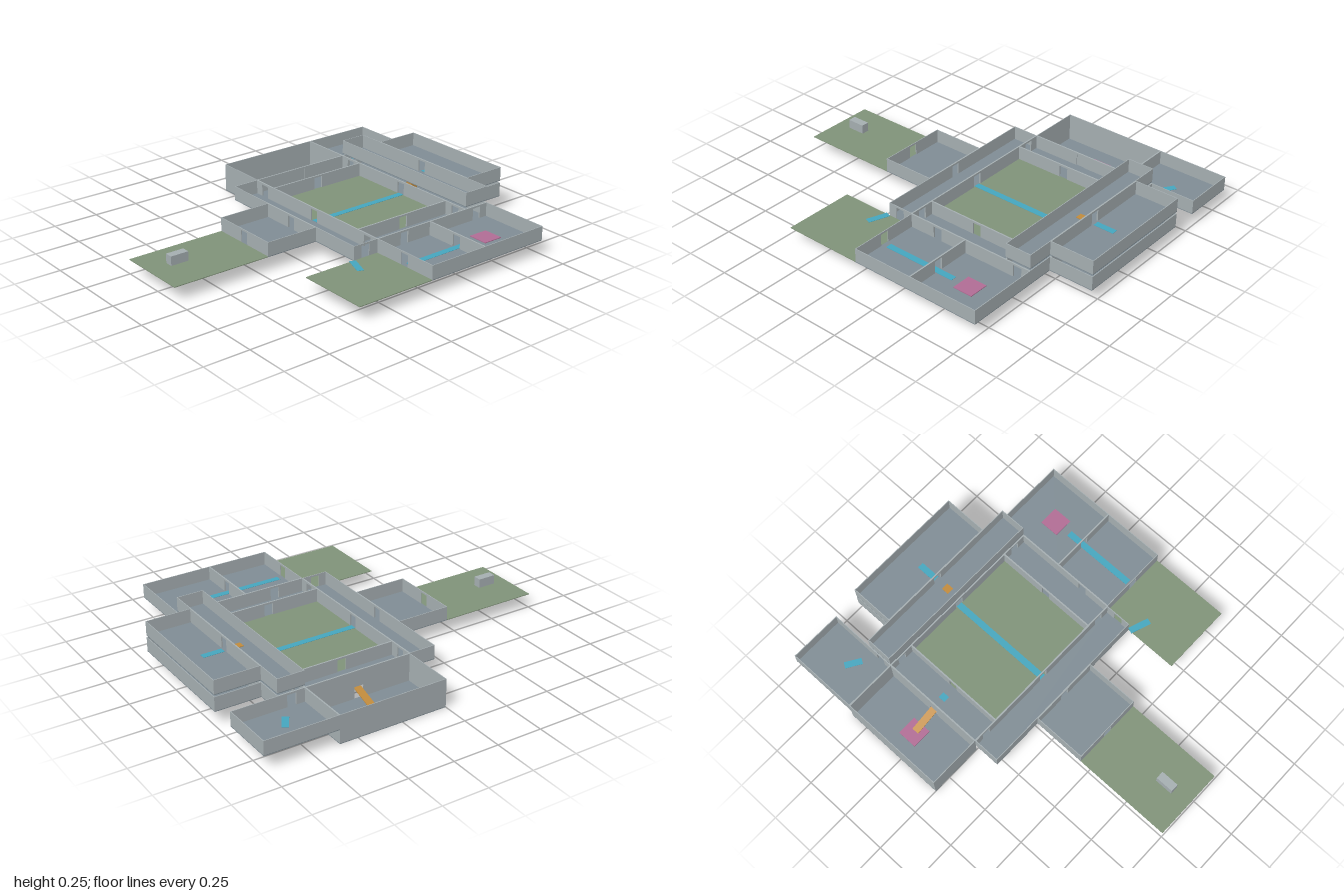
import * as THREE from 'three';

const T = 0.004;            // wall and floor thickness
const DOOR_W = 0.05, DOOR_H = 0.065;
const LOW = 0.004, MID = 0.08, HIGH = 0.17;

const mat = (color) => new THREE.MeshStandardMaterial({ color });
const wallMat = mat(0xa4adb0), stoneMat = mat(0x7f8c94), grassMat = mat(0x7f9278);
const linkMat = mat(0x45a5bd), riseMat = mat(0xc08a3c), padMat = mat(0xb06c94);

// Box given by its limits on each axis
function block(name, x0, x1, y0, y1, z0, z1, material) {
  const m = new THREE.Mesh(new THREE.BoxGeometry(x1 - x0, y1 - y0, z1 - z0), material);
  m.position.set((x0 + x1) / 2, (y0 + y1) / 2, (z0 + z1) / 2);
  m.name = name;
  return m;
}

// Doorways: [axis the wall runs along, wall coordinate, door centre]
const doors = [
  ['x', 0.45, -0.05], ['x', 0.15, -0.05], ['x', 0, -0.05], ['x', -0.6, -0.05], ['x', -0.75, -0.05],
  ['x', 0, -0.475], ['x', 0, 0.375], ['x', -0.6, -0.475], ['x', -0.6, 0.375],
  ['x', -0.35, 0.65], ['x', 0, 0.65],
  ['z', 0.45, 0.078], ['z', 0.45, -0.175], ['z', 0.45, -0.675],
  ['z', -0.55, -0.3], ['z', -0.55, -0.675],
  ['z', -0.4, -0.3], ['z', 0.3, -0.3],
];

// Wall along one axis, split around its doorways; the inner face points to the room
function addWall(room, axis, c0, at, from, to, y, h, allowed) {
  const put = (name, a, b, ya, yb) => room.add(axis === 'x'
    ? block(name, a, b, ya, yb, c0, c0 + T, wallMat)
    : block(name, c0, c0 + T, ya, yb, a, b, wallMat));
  const cuts = doors
    .filter((d) => allowed(d) && d[0] === axis && Math.abs(d[1] - at) < 1e-6 && d[2] > from && d[2] < to)
    .map((d) => d[2]).sort((a, b) => a - b);
  let start = from;
  for (const c of cuts) {
    put('wall', start, c - DOOR_W / 2, y, y + h);
    put('lintel', c - DOOR_W / 2, c + DOOR_W / 2, y + DOOR_H, y + h);
    start = c + DOOR_W / 2;
  }
  put('wall', start, to, y, y + h);
}

// Open-topped room with a floor and four walls
function makeRoom({ name, x0, x1, z0, z1, y = MID, h = 0.075, floor = stoneMat, walls = true }) {
  const room = new THREE.Group();
  room.name = name;
  room.add(block('floor', x0, x1, y - T, y, z0, z1, floor));
  if (!walls) return room;
  // the raised storey only has the door between its two rooms
  const allowed = (d) => y !== HIGH || d[1] === -0.75;
  addWall(room, 'x', z0, z0, x0, x1, y, h, allowed);
  addWall(room, 'x', z1 - T, z1, x0, x1, y, h, allowed);
  addWall(room, 'z', x0, x0, z0, z1, y, h, allowed);
  addWall(room, 'z', x1 - T, x1, z0, z1, y, h, allowed);
  return room;
}

// Beam joining two points, with a flat square-ended section
function makeLink(name, a, b, width, thick, material) {
  const A = new THREE.Vector3(...a), B = new THREE.Vector3(...b);
  const m = new THREE.Mesh(new THREE.BoxGeometry(width, thick, A.distanceTo(B)), material);
  m.position.copy(A).add(B).multiplyScalar(0.5);
  m.lookAt(B);
  m.name = name;
  return m;
}

export function createModel() {
  const g = new THREE.Group();
  g.name = 'buildingLayout';

  const rooms = [
    { name: 'courtyard', x0: -0.4, x1: 0.3, z0: -0.6, z1: 0, floor: grassMat },
    { name: 'backCorridor', x0: -0.55, x1: 0.45, z0: -0.75, z1: -0.6 },
    { name: 'frontCorridor', x0: -0.55, x1: 0.45, z0: 0, z1: 0.15 },
    { name: 'rightCorridor', x0: -0.55, x1: -0.4, z0: -0.6, z1: 0 },
    { name: 'leftCorridor', x0: 0.3, x1: 0.45, z0: -0.6, z1: 0 },
    { name: 'entranceHall', x0: -0.25, x1: 0.15, z0: 0.15, z1: 0.45 },
    { name: 'backHall', x0: -0.4, x1: 0.3, z0: -1, z1: -0.75 },
    { name: 'leftBackRoom', x0: 0.45, x1: 0.85, z0: -0.75, z1: -0.35 },
    { name: 'leftFrontRoom', x0: 0.45, x1: 0.85, z0: -0.35, z1: 0 },
    { name: 'rightBackRoom', x0: -0.85, x1: -0.55, z0: -1, z1: -0.6 },
    { name: 'sunkenRoom', x0: -0.85, x1: -0.55, z0: -0.6, z1: 0, y: LOW, h: 0.151 },
    { name: 'upperCorridor', x0: -0.55, x1: 0.45, z0: -0.75, z1: -0.6, y: HIGH },
    { name: 'upperHall', x0: -0.4, x1: 0.3, z0: -1, z1: -0.75, y: HIGH },
    { name: 'frontLawn', x0: -0.25, x1: 0.15, z0: 0.45, z1: 1, floor: grassMat, walls: false },
    { name: 'sideGarden', x0: 0.45, x1: 0.85, z0: 0, z1: 0.45, floor: grassMat, walls: false },
  ];
  for (const r of rooms) g.add(makeRoom(r));

  // Flat paths along the floors
  const paths = [
    [-0.05, 0, -0.05, -0.6, MID], [0.65, -0.03, 0.65, -0.45, MID],
    [0.45, 0.16, 0.56, 0.2, MID], [-0.7, -0.8, -0.62, -0.75, MID],
    [-0.05, -0.875, -0.05, -0.76, HIGH],
    [-0.475, -0.28, -0.475, -0.32, MID],
  ];
  for (const [xa, za, xb, zb, y] of paths) {
    g.add(makeLink('floorPath', [xa, y, za], [xb, y, zb], 0.035, 0.003, linkMat));
  }

  // Links between storeys: a shaft up and a ramp down
  g.add(block('shaft', -0.07, -0.03, MID, HIGH + 0.003, -0.697, -0.655, riseMat));
  g.add(makeLink('ramp', [-0.7, 0.004, -0.3], [-0.475, MID - 0.003, -0.3], 0.04, 0.004, riseMat));

  // Coloured floor pads
  for (const [x, z, y] of [[0.65, -0.55, MID], [-0.7, -0.3, LOW]]) {
    g.add(block('floorPad', x - 0.055, x + 0.055, y, y + 0.004, z - 0.055, z + 0.055, padMat));
  }

  // Block hovering over the lawn
  g.add(block('lawnBlock', -0.072, -0.028, 0.095, 0.145, 0.8, 0.9, wallMat));
  return g;
}
